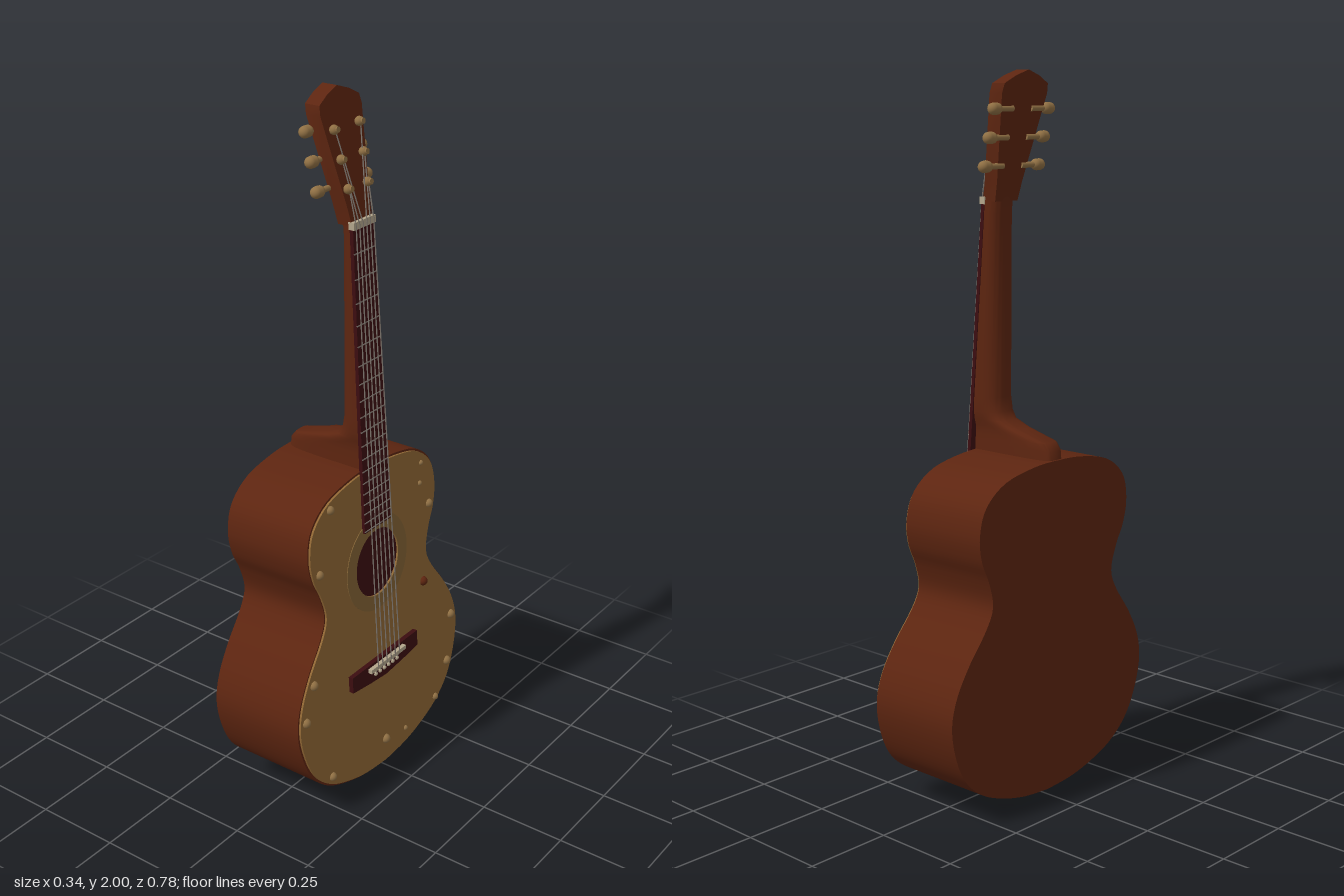
import * as THREE from 'three';
import { toCreasedNormals } from 'three/addons/utils/BufferGeometryUtils.js';

const mat = (name, color) => Object.assign(new THREE.MeshStandardMaterial({ color }), { name });

// Sloping planes: x of the soundboard, body back and headstock face at height y
const front = y => 0.16 - 0.064 * (y - 0.03);
const back = y => -0.144 - 0.032 * (y - 0.02);
const head = y => 0.06 - 0.235 * (y - 1.66);

export function createModel() {
  const guitar = new THREE.Group();
  guitar.name = 'guitar';
  const wood = mat('red brown wood', 0x5d2510);
  const spruce = mat('tan soundboard', 0x906734);
  const ringTan = mat('olive rosette', 0x836335);
  const dark = mat('dark rosewood', 0x3c0d10);
  const brass = mat('brass', 0x907044);
  const ivory = mat('ivory', 0xb3a68c);
  const steel = mat('string steel', 0x807870);

  const add = (name, geometry, material, parent = guitar) => {
    const mesh = new THREE.Mesh(geometry, material);
    mesh.name = name;
    parent.add(mesh);
    return mesh;
  };
  const group = name => {
    const g = new THREE.Group();
    g.name = name;
    guitar.add(g);
    return g;
  };
  // Extrude a shape drawn in the face plane, spanning from x = lo(y) to x = hi(y)
  const slab = (name, shape, lo, hi, material, parent) => {
    const geo = new THREE.ExtrudeGeometry(shape, { depth: 1, bevelEnabled: false, curveSegments: 40 });
    geo.rotateY(Math.PI / 2);
    const p = geo.attributes.position;
    for (let i = 0; i < p.count; i++) {
      const y = p.getY(i);
      p.setX(i, lo(y) + (hi(y) - lo(y)) * p.getX(i));
    }
    return add(name, toCreasedNormals(geo, 0.6), material, parent);
  };
  const off = (plane, d) => y => plane(y) + d;
  // Mirrored polygon from half-width points
  const mirrored = half => [
    ...half.map(([w, y]) => new THREE.Vector2(w, y)),
    ...half.slice().reverse().filter(([w]) => w > 0).map(([w, y]) => new THREE.Vector2(-w, y)),
  ];
  const poly = half => new THREE.Shape(mirrored(half));
  const circle = (r, Type = THREE.Shape) => {
    const s = new Type();
    s.absarc(0, 0.675, r, 0, Math.PI * 2, false);
    return s;
  };
  // Thin rod between two points
  const rod = (name, a, b, r, material, parent, sides = 6) => {
    const d = b.clone().sub(a);
    const m = add(name, new THREE.CylinderGeometry(r, r, d.length(), sides), material, parent);
    m.position.copy(a).add(b).multiplyScalar(0.5);
    m.quaternion.setFromUnitVectors(new THREE.Vector3(0, 1, 0), d.normalize());
    return m;
  };

  // Body outline
  const half = [[0, 0.016], [0.1, 0.025], [0.19, 0.048], [0.27, 0.083], [0.335, 0.14], [0.375, 0.22],
    [0.392, 0.31], [0.375, 0.39], [0.33, 0.47], [0.27, 0.55], [0.245, 0.61], [0.262, 0.68],
    [0.29, 0.74], [0.301, 0.81], [0.28, 0.885], [0.21, 0.94], [0.1, 0.965], [0, 0.97]];
  const pts = mirrored(half);
  pts.push(pts[0].clone());
  const outline = new THREE.SplineCurve(pts).getPoints(140).slice(0, -1);
  slab('body', new THREE.Shape(outline), back, off(front, -0.006), wood);

  // Soundboard with hole, rosette and dark interior
  const top = new THREE.Shape(outline.map(p => new THREE.Vector2(p.x * 0.985, 0.5 + (p.y - 0.5) * 0.988)));
  top.holes.push(circle(0.1, THREE.Path));
  slab('soundboard', top, off(front, -0.007), front, spruce);
  const ring = circle(0.143);
  ring.holes.push(circle(0.1, THREE.Path));
  slab('rosette', ring, front, off(front, 0.002), ringTan);
  slab('soundHole', circle(0.101), off(front, -0.006), off(front, -0.004), dark);

  // Studs around the soundboard edge: z, y, radius
  const studs = group('studs');
  for (const [z, y, r] of [[0.2, 0.917, 0.013], [0.262, 0.75, 0.013], [-0.23, 0.89, 0.008], [-0.22, 0.83, 0.008],
    [-0.262, 0.75, 0.013], [0.317, 0.436, 0.014], [0.36, 0.34, 0.014], [-0.357, 0.34, 0.014],
    [-0.328, 0.193, 0.014], [0.26, 0.11, 0.013], [-0.26, 0.1, 0.011], [0, 0.093, 0.014], [-0.1, 0.075, 0.008]])
    add('stud', new THREE.SphereGeometry(r, 14, 10), brass, studs).position.set(front(y), y, z);
  add('strapButton', new THREE.SphereGeometry(0.014, 14, 10), wood, studs).position.set(front(0.515), 0.515, -0.22);
  const pin = add('endPin', new THREE.SphereGeometry(0.03, 20, 12), brass);
  pin.scale.y = 0.6;
  pin.position.set(0.045, 0.018, 0);

  // Neck and heel: a cylinder reshaped to sections of y, back x, half width, squareness power
  const sections = [[0.94, -0.172, 0.04, 0.4], [0.995, -0.166, 0.04, 0.4], [1.015, -0.15, 0.04, 0.4],
    [1.04, -0.05, 0.042, 0.45], [1.058, 0.0, 0.048, 0.6], [1.08, 0.015, 0.052, 0.7], [1.12, 0.02, 0.053, 0.8],
    [1.62, 0.018, 0.045, 0.8], [1.68, 0.012, 0.045, 0.8]];
  const rows = sections.length - 1;
  const neck = new THREE.CylinderGeometry(1, 1, 1, 40, rows);
  const np = neck.attributes.position;
  for (let i = 0; i < np.count; i++) {
    const [y, b, w, power] = sections[Math.round((np.getY(i) + 0.5) * rows)];
    const f = y > 1.65 ? head(y) : front(y);
    const s = Math.max(0, -np.getX(i)), c = np.getZ(i);
    np.setXYZ(i, f - (f - b) * Math.pow(s, power), y, w * Math.sign(c) * Math.pow(Math.abs(c), power));
  }
  add('neck', toCreasedNormals(neck, 0.7), wood);

  // Fingerboard, frets and nut
  slab('fingerboard', poly([[0.062, 0.79], [0.046, 1.655]]), off(front, -0.002), off(front, 0.009), dark);
  const frets = group('frets');
  for (let i = 1; i <= 19; i++) {
    const y = 0.365 + 1.29 * Math.pow(2, -i / 12);
    const w = 0.046 + 0.016 * (1.655 - y) / 0.865;
    slab('fret', poly([[w, y - 0.0015], [w, y + 0.0015]]), off(front, 0.008), off(front, 0.0105), steel, frets);
  }
  slab('nut', poly([[0.048, 1.647], [0.048, 1.667]]), off(front, -0.004), off(front, 0.014), ivory);

  // Bridge and saddle
  slab('bridge', poly([[0, 0.318], [0.08, 0.325], [0.16, 0.335], [0.16, 0.383], [0, 0.383]]),
    off(front, -0.002), off(front, 0.014), dark);
  slab('saddle', poly([[0.085, 0.363], [0.085, 0.375]]), off(front, 0.01), off(front, 0.026), ivory);

  // Headstock
  slab('headstock', poly([[0.044, 1.655], [0.05, 1.71], [0.088, 1.94], [0.084, 1.965], [0.045, 1.985], [0, 2]]),
    off(head, -0.045), head, wood);

  // Tuners, strings and bridge pins, one set per string
  const tuners = group('tuners'), strings = group('strings');
  const V = (x, y, z) => new THREE.Vector3(x, y, z);
  for (const side of [-1, 1]) {
    [1.75, 1.825, 1.9].forEach((y, i) => {
      const k = side * (2.5 - i), x = head(y), z = side * (0.042 + i * 0.006);
      rod('tunerPost', V(x - 0.005, y, z), V(x + 0.022, y + 0.005, z), 0.008, brass, tuners, 12);
      const collar = add('tunerCollar', new THREE.SphereGeometry(0.013, 14, 10), brass, tuners);
      collar.position.set(x + 0.008, y + 0.002, z);
      const gx = x - 0.043;
      rod('tunerShaft', V(gx, y, side * 0.035), V(gx, y, side * 0.1), 0.008, brass, tuners, 12);
      const button = add('tunerButton', new THREE.CapsuleGeometry(0.016, 0.012, 6, 16), brass, tuners);
      button.rotation.x = Math.PI / 2;
      button.position.set(gx, y, side * 0.103);

      const pinAt = V(front(0.345) + 0.014, 0.345, k * 0.021);
      const saddleAt = V(front(0.369) + 0.026, 0.369, k * 0.021);
      const nutAt = V(front(1.657) + 0.014, 1.657, k * 0.0155);
      const path = [pinAt, saddleAt, nutAt, V(x + 0.012, y, z)];
      for (let j = 0; j < 3; j++) rod('string', path[j], path[j + 1], 0.0018, steel, strings);
      add('bridgePin', new THREE.SphereGeometry(0.007, 10, 8), ivory, strings).position.copy(pinAt);
    });
  }
  return guitar;
}
